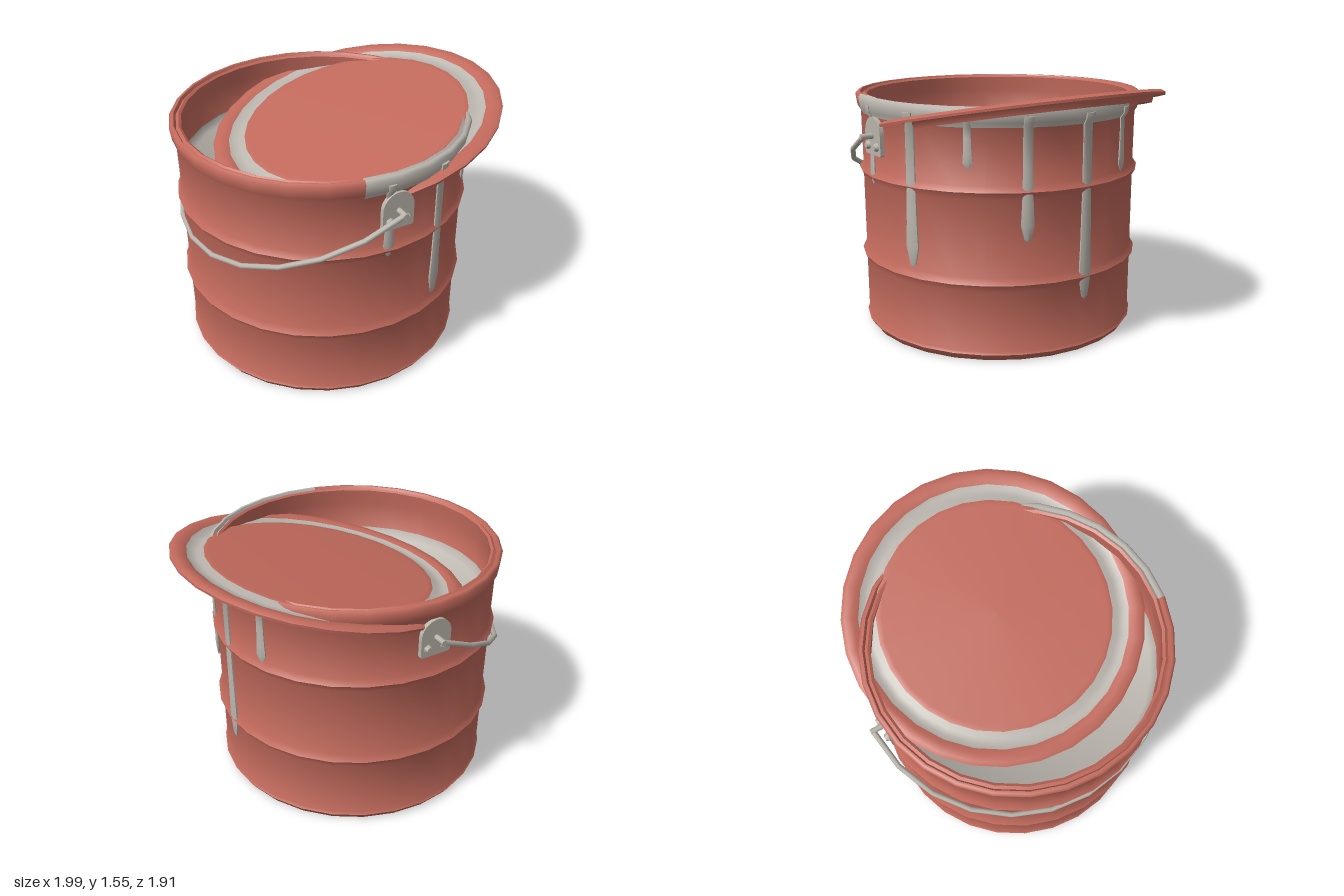
import * as THREE from 'three';
import { toCreasedNormals } from 'three/addons/utils/BufferGeometryUtils.js';

const SEG = 28;
const CX = -0.11; // bucket axis
const PIVOT_Y = 1.25;

function material(name, color) {
  const m = new THREE.MeshStandardMaterial({ color });
  m.name = name;
  return m;
}

const toPoints = (profile) => profile.map(([r, y]) => new THREE.Vector2(r, y));

// Turned part from [radius, height] pairs; pick(segment, band) gives a material index,
// so colours can change while the shading stays smooth
function turned(profile, pick) {
  const g = toCreasedNormals(new THREE.LatheGeometry(toPoints(profile), SEG), 1.0);
  const bands = profile.length - 1;
  let start = 0;
  let current = pick(0, 0);
  for (let q = 1; q <= SEG * bands; q++) {
    const next = q < SEG * bands ? pick(Math.floor(q / bands), q % bands) : -1;
    if (next !== current) {
      g.addGroup(start * 6, (q - start) * 6, current);
      start = q;
      current = next;
    }
  }
  return g;
}

export function createModel() {
  const red = material('red enamel', 0xc26a5c);
  const paint = material('grey paint', 0xbbb6ae);
  const metal = material('bare metal', 0xb9b4ab);

  const model = new THREE.Group();
  model.name = 'paintBucket';
  const add = (parent, name, geometry, mat) => {
    const mesh = new THREE.Mesh(geometry, mat);
    mesh.name = name;
    parent.add(mesh);
    return mesh;
  };

  const bucket = new THREE.Group();
  bucket.name = 'bucket';
  bucket.position.x = CX;
  model.add(bucket);

  // Base, wall with two raised hoops, rim, inside wall and paint surface
  const shell = [
    [0, 0.02], [0.812, 0.02], [0.814, 0], [0.842, 0], [0.868, 0.04], [0.858, 0.055],
    [0.858, 0.42], [0.882, 0.465], [0.858, 0.505],
    [0.858, 0.955], [0.882, 1.0], [0.858, 1.035], [0.86, 1.355],
    [0.88, 1.385], [0.89, 1.455], [0.877, 1.47], [0.862, 1.47],
    [0.852, 1.452], [0.835, 1.465], [0.82, 1.455],
    [0.83, 1.36], [0.835, 1.18], [0.8, 1.135], [0, 1.13],
  ];
  // Spilt paint covers nine segments on the +x side of the rim, plus the front one
  const shellColour = (seg, band) => {
    const spilt = (seg < 9 || seg === SEG - 1) && band >= 12 && band < 18;
    return spilt || band >= 21 ? 1 : 0;
  };
  add(bucket, 'bucketShell', turned(shell, shellColour), [red, paint]);

  // Drips: [degrees from +x towards +z, lower end, half width]
  const drips = [
    [93, 0.95, 0.034], [68.5, 0.52, 0.045], [45, 1.12, 0.03],
    [23, 0.71, 0.04], [-1.5, 0.32, 0.045], [-23, 1.03, 0.035],
  ];
  for (const [deg, low, w] of drips) {
    const len = 1.42 - low;
    const g = new THREE.LatheGeometry(toPoints([
      [0, low], [w * 0.5, low + 0.02], [w, low + len * 0.14], [w * 0.85, low + len * 0.3],
      [w * 0.72, low + len * 0.6], [w * 0.72, 1.355], [w * 0.72, 1.385], [w * 0.72, 1.42], [0, 1.42],
    ]), 10);
    g.scale(1, 1, 0.35);
    // Lean the top of the drip out over the rim
    const p = g.attributes.position;
    for (let i = 0; i < p.count; i++) {
      if (p.getY(i) > 1.37) p.setZ(i, p.getZ(i) + 0.022);
    }
    const a = THREE.MathUtils.degToRad(deg);
    const drip = add(bucket, 'paintDrip', toCreasedNormals(g, 0.8), paint);
    drip.position.set(0.862 * Math.cos(a), 0, 0.862 * Math.sin(a));
    drip.rotation.y = Math.PI / 2 - a;
  }

  // Handle brackets, front and back
  const plate = new THREE.Shape();
  plate.moveTo(-0.09, 1.137);
  plate.lineTo(0.09, 1.137);
  plate.lineTo(0.097, 1.145);
  plate.lineTo(0.097, 1.263);
  plate.absarc(0, 1.263, 0.097, 0, Math.PI, false);
  plate.lineTo(-0.097, 1.145);
  const plateGeometry = new THREE.ExtrudeGeometry(plate, { depth: 0.026, bevelEnabled: false, curveSegments: 10 });
  const rivetGeometry = new THREE.CylinderGeometry(0.018, 0.028, 0.022, 6).rotateX(Math.PI / 2);
  const pinGeometry = new THREE.CylinderGeometry(0.017, 0.017, 0.09, 8).rotateX(Math.PI / 2);
  for (const turn of [0, Math.PI]) {
    const bracket = new THREE.Group();
    bracket.name = turn ? 'backBracket' : 'frontBracket';
    bracket.rotation.y = turn;
    bucket.add(bracket);
    add(bracket, 'bracketPlate', plateGeometry, metal).position.z = 0.852;
    for (const x of [-0.053, 0.053]) {
      add(bracket, 'rivet', rivetGeometry, metal).position.set(x, 1.19, 0.888);
    }
    add(bracket, 'handlePin', pinGeometry, metal).position.set(0, PIVOT_Y, 0.908);
  }

  // Wire handle hanging down on the right side
  const wire = new THREE.TorusGeometry(0.96, 0.016, 8, 12, Math.PI);
  wire.rotateX(Math.PI / 2).rotateY(-Math.PI / 2).scale(1, 1, 0.977).rotateZ(0.454);
  add(bucket, 'wireHandle', wire, metal).position.y = PIVOT_Y;

  // Lid, tilted with one edge dipped into the bucket, its shallow groove full of paint
  const lidProfile = [
    [0, -0.015], [0.69, -0.015], [0.72, -0.045], [0.8, -0.05], [0.815, -0.012],
    [0.84, 0], [0.86, -0.012], [0.885, -0.014], [0.888, 0], [0.865, 0.016],
    [0.82, 0.015], [0.79, 0.002], [0.765, -0.01], [0.725, -0.01], [0.69, 0.008], [0.66, 0.01], [0, 0.01],
  ];
  const lid = add(model, 'lid', turned(lidProfile, (seg, band) => (band >= 11 && band < 14 ? 1 : 0)), [red, paint]);
  lid.position.set(0.126, 1.358, 0);
  lid.rotation.z = 0.208;

  return model;
}
